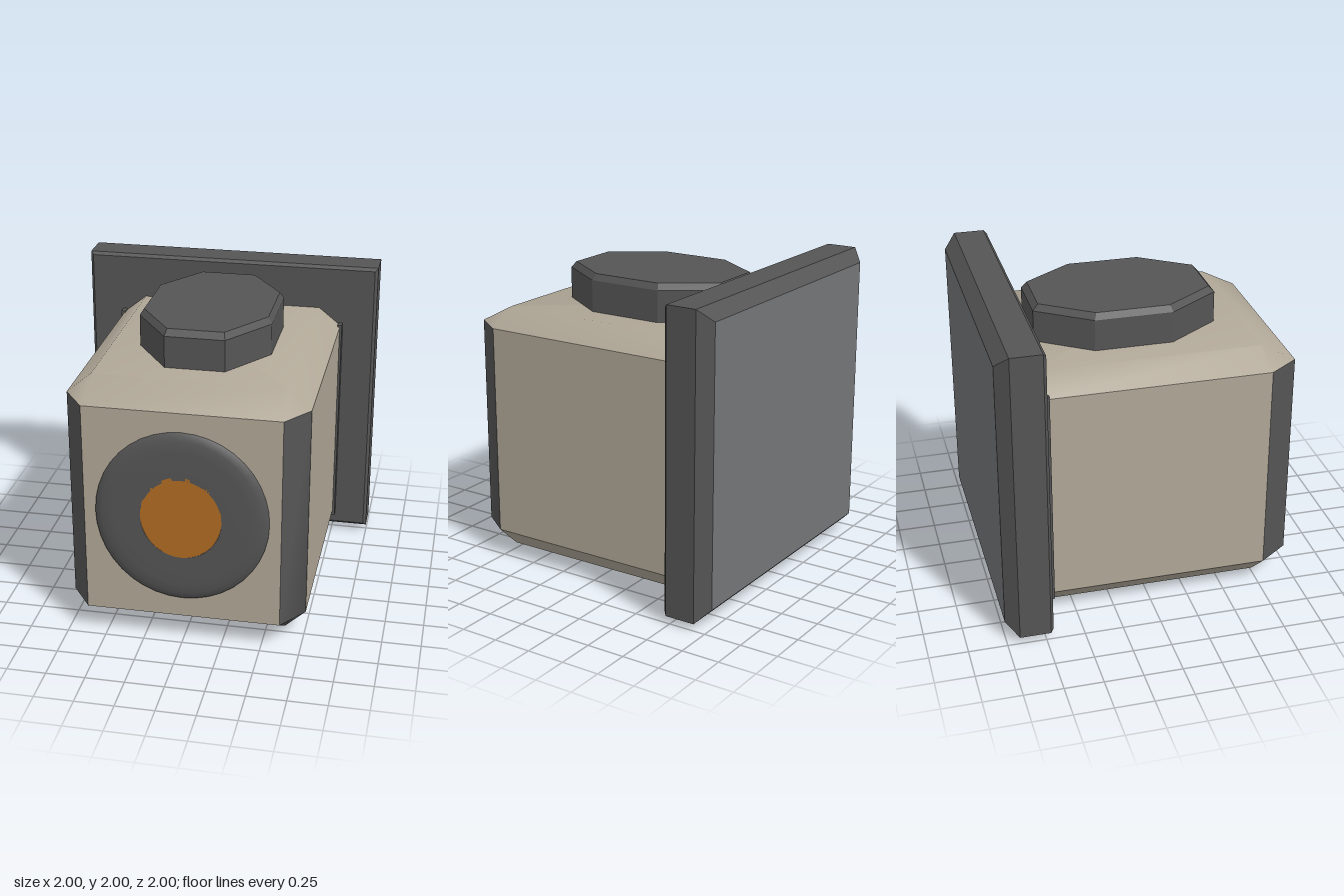
import * as THREE from 'three';
import { toCreasedNormals } from 'three/addons/utils/BufferGeometryUtils.js';

const mat = (name, color, side = THREE.FrontSide) => {
  const m = new THREE.MeshStandardMaterial({ color, side });
  m.name = name;
  return m;
};

// Skin between rings of points (counter-clockwise about the loft axis) with end caps.
// slot(kind, ring, side) picks the material index: kind is 'start', 'side' or 'end'.
function loft(rings, materials, slot = () => 0, crease = 0.1) {
  const faces = materials.map(() => []);
  const tri = (s, a, b, c) => faces[s].push(...a, ...b, ...c);
  const n = rings[0].length;
  for (let r = 0; r < rings.length - 1; r++) {
    for (let i = 0; i < n; i++) {
      const j = (i + 1) % n, s = slot('side', r, i);
      tri(s, rings[r][i], rings[r][j], rings[r + 1][j]);
      tri(s, rings[r][i], rings[r + 1][j], rings[r + 1][i]);
    }
  }
  const first = rings[0], last = rings[rings.length - 1];
  for (let i = 1; i < n - 1; i++) {
    tri(slot('start'), first[0], first[i + 1], first[i]);
    tri(slot('end'), last[0], last[i], last[i + 1]);
  }
  const group = new THREE.Group();
  faces.forEach((f, k) => {
    const g = new THREE.BufferGeometry();
    g.setAttribute('position', new THREE.Float32BufferAttribute(f, 3));
    g.computeVertexNormals();
    group.add(new THREE.Mesh(toCreasedNormals(g, crease), materials[k]));
  });
  return group;
}

export function createModel() {
  const beige = mat('beige casing', 0xb0a797);
  const dark = mat('dark grey', 0x555555);
  const panel = mat('panel grey', 0x747578);
  const orange = mat('orange', 0xb06c22);

  const model = new THREE.Group();
  const add = (name, obj) => { obj.name = name; model.add(obj); return obj; };

  // Casing: chamfered block, dark on its two vertical front corners
  const back = -0.705;
  const bodyRing = (y, x, xc, zSide, zFront) => [
    [-x, y, back], [-x, y, zSide], [-xc, y, zFront],
    [xc, y, zFront], [x, y, zSide], [x, y, back]];
  const body = add('casing', loft([
    bodyRing(0.045, 0.63, 0.62, 0.74, 0.75),
    bodyRing(0.18, 0.76, 0.62, 0.77, 0.965),
    bodyRing(1.58, 0.76, 0.62, 0.77, 0.965),
    bodyRing(1.70, 0.61, 0.60, 0.73, 0.74),
  ], [beige, dark],
  (kind, r, i) => (kind === 'side' && r < 2 && (i === 1 || i === 3) ? 1 : 0), 0.72));
  body.children[0].name = 'casingShell';
  body.children[1].name = 'cornerTrim';

  // Back plate: bevelled slab with a lighter rear panel
  const plateRing = (z, inset) => {
    const x = 1 - inset, y0 = 0.045 + inset, y1 = 2 - inset;
    return [[-x, y0, z], [x, y0, z], [x, y1, z], [-x, y1, z]];
  };
  const plate = add('backPlate', loft([
    plateRing(-1, 0.08), plateRing(-0.92, 0), plateRing(-0.72, 0), plateRing(-0.70, 0.02),
  ], [dark, panel], (kind) => (kind === 'start' ? 1 : 0)));
  plate.children[0].name = 'plateRim';
  plate.children[1].name = 'rearPanel';

  // Top button: stretched octagon with a small bevel
  const outline = [[-0.425, -0.25], [-0.425, 0.25], [-0.19, 0.59], [0.19, 0.59],
    [0.425, 0.25], [0.425, -0.25], [0.19, -0.59], [-0.19, -0.59]];
  const buttonRing = (y, s) => outline.map(([x, z]) => [x * s, y, z * s - 0.03]);
  add('topButton', loft(
    [buttonRing(1.68, 1), buttonRing(1.905, 1), buttonRing(1.945, 0.94)], [dark]));

  // Front dial: raised ring around an orange disc
  const profile = [[0.55, -0.01], [0.545, 0.012], [0.5, 0.03], [0.43, 0.038], [0.255, 0.038]]
    .map(([r, h]) => new THREE.Vector2(r, h));
  const ring = add('dialRing', new THREE.Mesh(
    new THREE.LatheGeometry(profile, 40).rotateX(Math.PI / 2), dark));
  ring.position.set(0, 0.885, 0.962);
  ring.scale.y = 1.045;
  const disc = add('dialCentre', new THREE.Mesh(new THREE.CircleGeometry(0.256, 40), orange));
  disc.position.set(0, 0.895, 1);
  disc.scale.y = 1.08;

  // Side trim against the plate, and small pegs beneath it
  for (const side of [-1, 1]) {
    const trim = add(side > 0 ? 'leftTrim' : 'rightTrim',
      new THREE.Mesh(new THREE.BoxGeometry(0.03, 1.46, 0.06), dark));
    trim.position.set(side * 0.76, 0.87, -0.675);
    const peg = add(side > 0 ? 'leftPeg' : 'rightPeg',
      new THREE.Mesh(new THREE.ConeGeometry(0.025, 0.06, 4).rotateX(Math.PI), dark));
    peg.position.set(side * 0.67, 0.03, -0.69);
  }
  return model;
}
